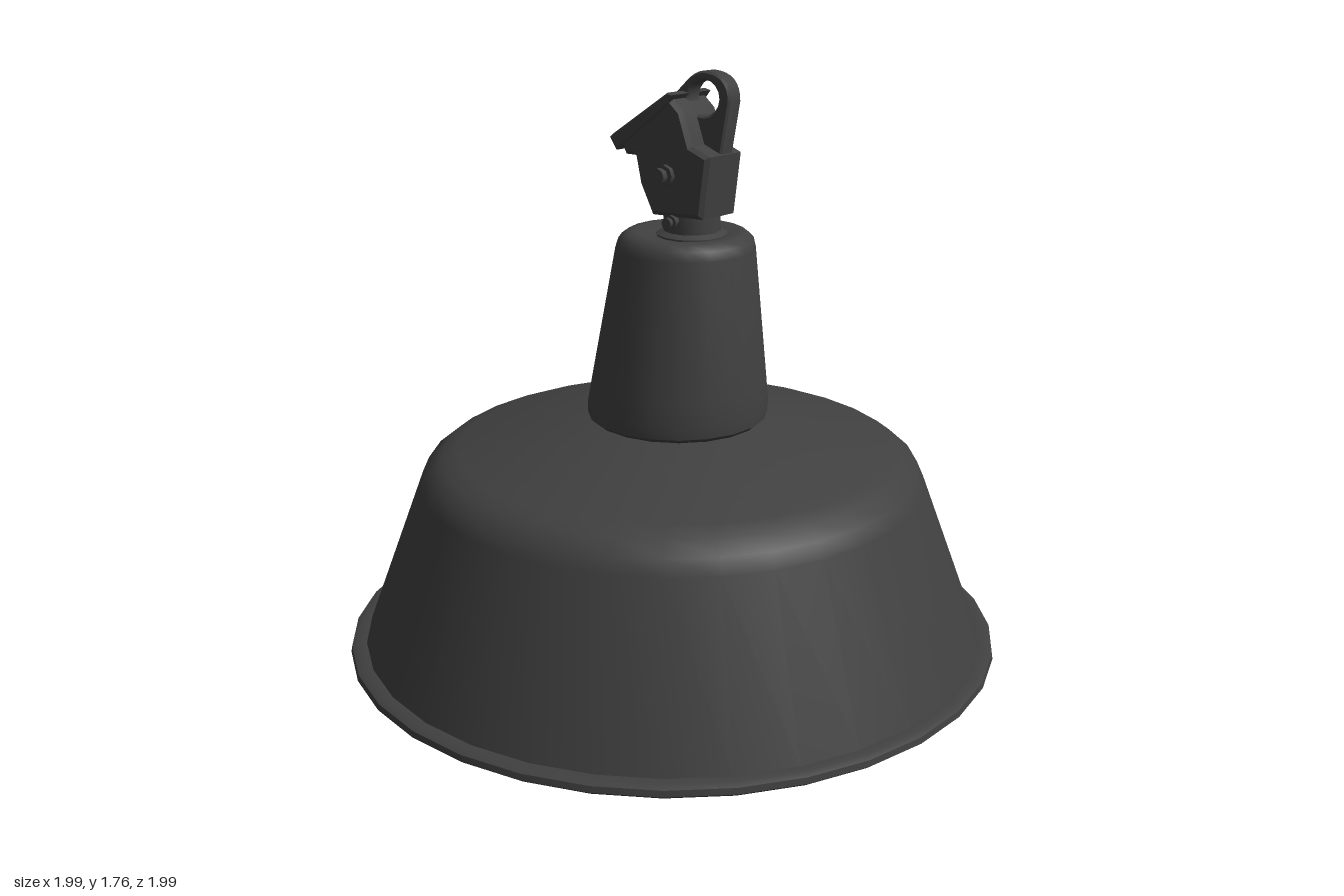
import * as THREE from 'three';
import { toCreasedNormals } from 'three/addons/utils/BufferGeometryUtils.js';

const V = (a) => a.map(([x, y]) => new THREE.Vector2(x, y));
const mat = new THREE.MeshStandardMaterial({ color: 0x404040, side: THREE.DoubleSide });

function add(parent, name, geometry, x = 0, y = 0, z = 0) {
  const m = new THREE.Mesh(geometry, mat);
  m.name = name;
  m.position.set(x, y, z);
  parent.add(m);
  return m;
}

const lathe = (pts, sides, crease = 0.75) =>
  toCreasedNormals(new THREE.LatheGeometry(V(pts), sides), crease);

// Plate with its outline in (z, y), given a thickness along x
function plate(shape, width, bevel) {
  const g = new THREE.ExtrudeGeometry(shape, {
    depth: width - 2 * bevel, bevelEnabled: true, bevelThickness: bevel,
    bevelSize: bevel, bevelOffset: -bevel, bevelSegments: 1, curveSegments: 8,
  });
  g.translate(0, 0, -width / 2 + bevel);
  g.rotateY(-Math.PI / 2);
  return toCreasedNormals(g, 0.5);
}

// Thumb screw pointing to -x
function screw(parent, y, z, size) {
  const s = new THREE.Group();
  s.name = 'clampScrew';
  s.position.set(-0.075, y, z);
  s.scale.setScalar(size);
  for (const [r, len, x] of [[0.018, 0.06, -0.015], [0.032, 0.016, -0.025], [0.025, 0.02, -0.053]]) {
    const g = new THREE.CylinderGeometry(r, r, len, 8);
    g.rotateZ(Math.PI / 2);
    add(s, 'screwPart', toCreasedNormals(g, 0.9), x);
  }
  parent.add(s);
}

export function createModel() {
  const lamp = new THREE.Group();
  lamp.name = 'pendantLamp';

  // Bell shade: inner skin down to the rolled rim, then the outer skin up
  add(lamp, 'shade', lathe([
    [0.16, 0.715], [0.27, 0.705], [0.67, 0.6], [0.71, 0.575], [0.74, 0.52], [0.93, 0.03],
    [0.945, 0.008], [0.98, 0], [0.995, 0.012], [0.992, 0.03], [0.975, 0.038], [0.947, 0.038],
    [0.765, 0.53], [0.745, 0.575], [0.7, 0.61], [0.65, 0.63], [0.27, 0.725], [0.2, 0.735],
  ], 32));

  // Tapered neck, its top shifted slightly forwards
  const neck = lathe([
    [0.2, 0.715], [0.25, 0.72], [0.27, 0.738], [0.271, 0.77], [0.262, 0.84], [0.205, 1.25],
    [0.197, 1.278], [0.175, 1.295], [0.15, 1.298], [0.11, 1.285], [0, 1.285],
  ], 20);
  const p = neck.attributes.position;
  for (let i = 0; i < p.count; i++) p.setZ(i, p.getZ(i) + 0.02 + (p.getY(i) - 0.74) * 0.055);
  add(lamp, 'neck', toCreasedNormals(neck, 0.75));

  // Bulb socket hanging inside the shade
  add(lamp, 'socket', lathe([
    [0, 0.66], [0.12, 0.66], [0.13, 0.56], [0.145, 0.54], [0.17, 0.54], [0.18, 0.56], [0.18, 0.72],
  ], 16, 0.6), 0, 0, 0.02);

  // Collar between neck and hanger
  add(lamp, 'collar', lathe([
    [0.105, 1.275], [0.105, 1.29], [0.085, 1.3], [0.082, 1.38], [0, 1.38],
  ], 14, 0.6), 0.015, 0, 0.06);
  screw(lamp, 1.34, 0.06, 0.65);

  // Hanger head leaning slightly sideways
  const head = new THREE.Group();
  head.name = 'hanger';
  head.position.set(0.012, 1.36, 0);
  head.rotation.z = -0.05;
  lamp.add(head);

  const body = new THREE.Shape(V([
    [-0.02, -0.015], [0.155, -0.01], [0.172, 0.17], [0.11, 0.195], [0.075, 0.29],
    [0.03, 0.33], [-0.15, 0.205], [-0.12, 0.15], [-0.085, 0.15], [-0.065, 0.07],
  ]));
  add(head, 'hangerBody', plate(body, 0.18, 0.012));

  // Slanted clamp cover on the back
  const cover = new THREE.Shape(V([
    [0.05, 0.335], [0.025, 0.3], [-0.145, 0.16], [-0.17, 0.195], [-0.16, 0.205], [0.03, 0.34],
  ]));
  add(head, 'clampCover', plate(cover, 0.195, 0.004));

  // Central lug with the hanging eye
  const lug = new THREE.Shape();
  lug.moveTo(0.15, 0.05);
  lug.lineTo(0.19, 0.32);
  lug.quadraticCurveTo(0.188, 0.4, 0.1, 0.402);
  lug.quadraticCurveTo(0.065, 0.4, 0.03, 0.36);
  lug.lineTo(-0.04, 0.29);
  lug.lineTo(0, 0.05);
  const eye = new THREE.Path();
  eye.absellipse(0.1, 0.325, 0.052, 0.052, 0, Math.PI * 2, true);
  lug.holes.push(eye);
  add(head, 'hangingLug', plate(lug, 0.062, 0.006), 0.012);

  screw(head, 0.105, 0.03, 1);

  return lamp;
}
